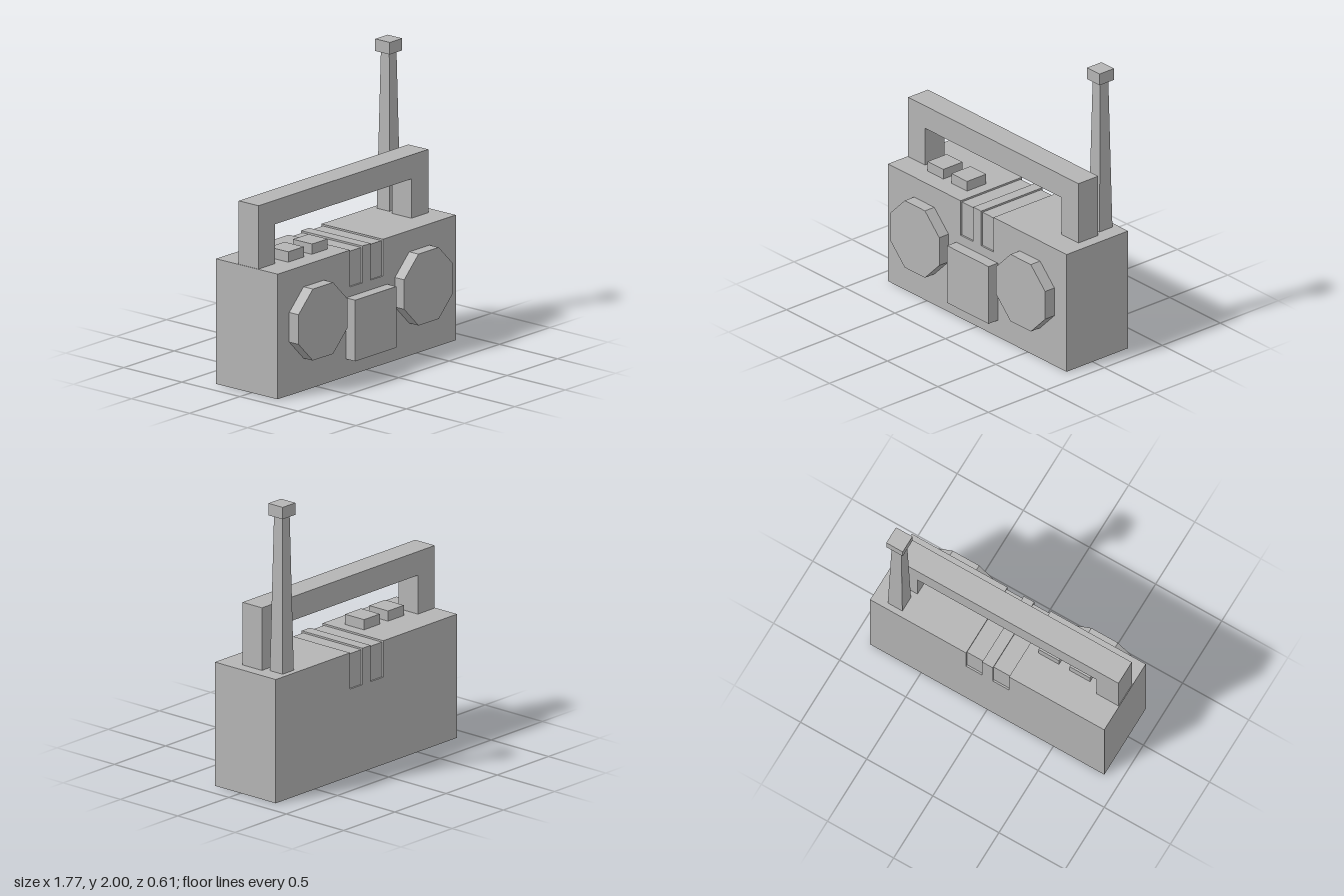
import * as THREE from 'three';

export function createModel() {
  const model = new THREE.Group();
  const grey = new THREE.MeshStandardMaterial({ color: 0xb4b4b4 });
  grey.name = 'grey plastic';

  const add = (name, geometry, x = 0, y = 0, z = 0) => {
    const mesh = new THREE.Mesh(geometry, grey);
    mesh.name = name;
    mesh.position.set(x, y, z);
    model.add(mesh);
    return mesh;
  };
  // Box given by its minimum and maximum on each axis
  const box = (name, [x0, x1], [y0, y1], [z0, z1]) =>
    add(name, new THREE.BoxGeometry(x1 - x0, y1 - y0, z1 - z0),
      (x0 + x1) / 2, (y0 + y1) / 2, (z0 + z1) / 2);
  const extrude = (points, depth) => new THREE.ExtrudeGeometry(
    new THREE.Shape(points.map(([x, y]) => new THREE.Vector2(x, y))),
    { depth, bevelEnabled: false });

  // Body: side profiles extruded across x, with two shallow strap grooves
  const back = -0.305, front = 0.225, top = 0.85, groove = 0.012, grooveY = 0.6;
  const plain = [[-front, 0], [-back, 0], [-back, top], [-front, top]];
  const grooved = [
    [-front, 0], [-back, 0], [-back, grooveY], [-back - groove, grooveY],
    [-back - groove, top - groove], [-front + groove, top - groove],
    [-front + groove, grooveY], [-front, grooveY],
  ];
  const cuts = [-0.885, -0.165, -0.042, 0.038, 0.16, 0.885];
  for (let i = 0; i < cuts.length - 1; i++) {
    const isGroove = i % 2 === 1;
    const section = add(isGroove ? 'bodyGroove' : 'bodySection',
      extrude(isGroove ? grooved : plain, cuts[i + 1] - cuts[i]), cuts[i]);
    section.rotation.y = Math.PI / 2;
  }

  // Octagonal speakers with flat sides
  for (const [name, x] of [['rightSpeaker', -0.527], ['leftSpeaker', 0.522]]) {
    const radius = 0.2425 / Math.cos(Math.PI / 8);
    const octagon = new THREE.CylinderGeometry(radius, radius, 0.08, 8).toNonIndexed();
    octagon.rotateY(Math.PI / 8).rotateX(Math.PI / 2);
    octagon.computeVertexNormals();
    add(name, octagon, x, 0.463, 0.265);
  }

  // Cassette door and top buttons
  box('cassetteDoor', [-0.207, 0.203], [0.12, 0.535], [front, 0.305]);
  for (const x of [-0.635, -0.4]) box('button', [x, x + 0.155], [top, 0.92], [-0.065, 0.1]);

  // Carrying handle, an arch standing on the body
  add('handle', extrude([
    [-0.88, top], [-0.715, top], [-0.715, 1.117], [0.64, 1.117],
    [0.64, top], [0.807, top], [0.807, 1.28], [-0.88, 1.28],
  ], 0.17), 0, 0, -0.115);

  // Tapered square antenna with a cap
  const mast = new THREE.CylinderGeometry(
    0.036 * Math.SQRT2, 0.055 * Math.SQRT2, 1.07, 4).toNonIndexed();
  mast.rotateY(Math.PI / 4);
  mast.computeVertexNormals();
  add('antennaMast', mast, 0.72, top + 0.535, -0.211);
  box('antennaCap', [0.658, 0.782], [1.918, 2], [-0.273, -0.149]);

  return model;
}
